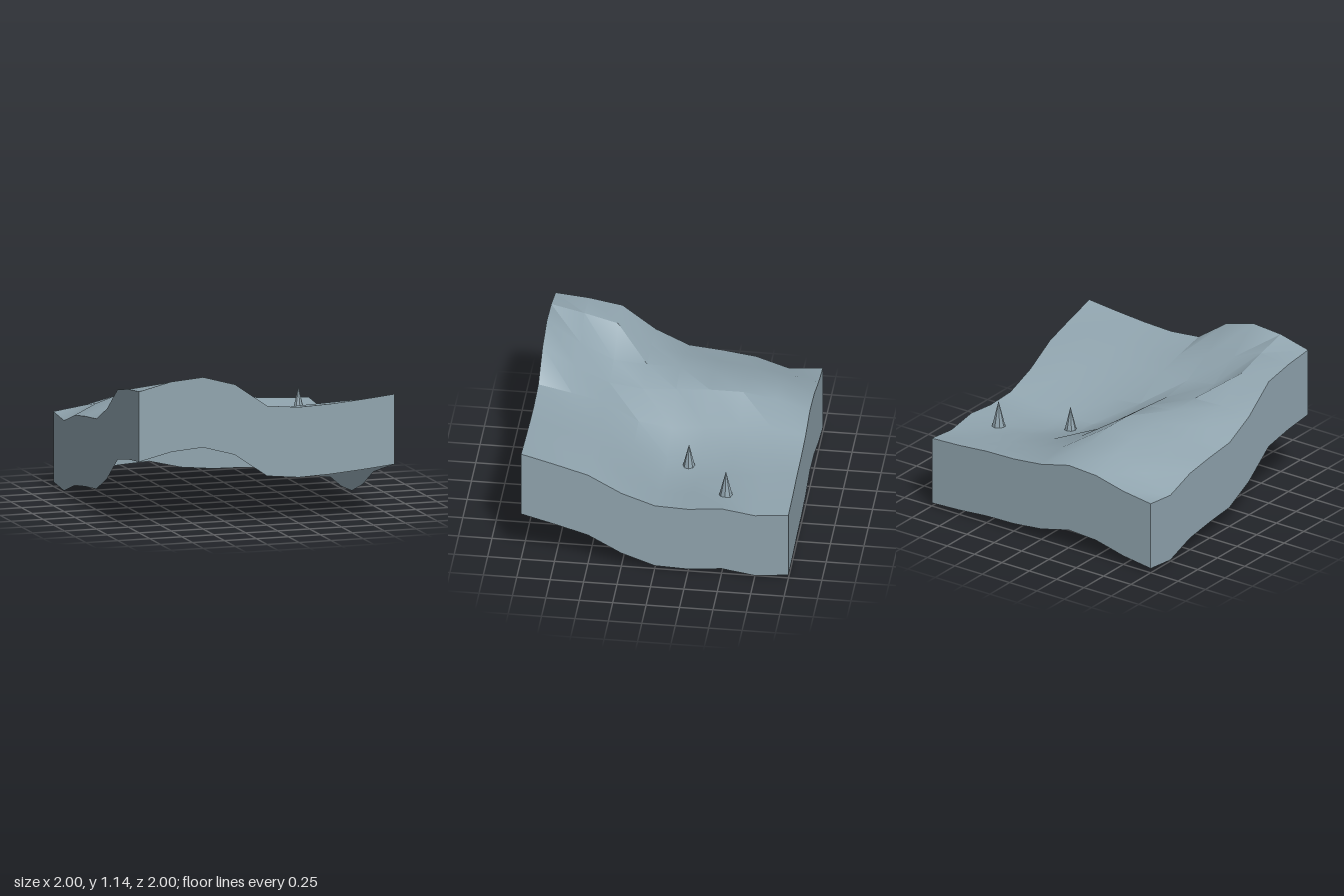
import * as THREE from 'three';
import { toCreasedNormals } from 'three/addons/utils/BufferGeometryUtils.js';

// Ground heights: one row per z from back (-1) to front (+1), x from -1 to +1
const HEIGHTS = [
  [0.57, 0.605, 0.665, 0.68, 0.62, 0.595, 0.59, 0.57, 0.56],
  [0.545, 0.66, 0.74, 0.76, 0.66, 0.59, 0.565, 0.55, 0.535],
  [0.63, 0.70, 0.78, 0.80, 0.66, 0.57, 0.545, 0.54, 0.575],
  [0.665, 0.73, 0.80, 0.80, 0.63, 0.51, 0.49, 0.52, 0.55],
  [0.69, 0.765, 0.82, 0.785, 0.60, 0.50, 0.49, 0.52, 0.56],
  [0.81, 0.83, 0.82, 0.765, 0.64, 0.61, 0.61, 0.63, 0.65],
  [1.0, 1.0, 0.84, 0.80, 0.79, 0.78, 0.78, 0.79, 0.79],
  [1.045, 1.07, 0.97, 0.92, 0.85, 0.84, 0.85, 0.86, 0.865],
  [1.07, 1.13, 1.15, 1.08, 0.905, 0.88, 0.89, 0.91, 0.935],
];
const N = 8;
const STEP = 2 / N;
const SKIRT = 0.53;

const stone = new THREE.MeshStandardMaterial({ color: 0x90a4ae, side: THREE.DoubleSide });
stone.name = 'blueGreyGround';

// Rolling ground surface
function groundGeometry() {
  const geo = new THREE.PlaneGeometry(2, 2, N, N).rotateX(-Math.PI / 2);
  const pos = geo.attributes.position;
  for (let i = 0; i < pos.count; i++) {
    pos.setY(i, HEIGHTS[Math.floor(i / (N + 1))][i % (N + 1)]);
  }
  return toCreasedNormals(geo, 0.5);
}

// Constant-depth wall hanging from one border; cell(i) gives [column, row]
function wallGeometry(cell) {
  const points = [];
  const index = [];
  for (let i = 0; i <= N; i++) {
    const [c, r] = cell(i);
    const x = -1 + c * STEP, z = -1 + r * STEP, y = HEIGHTS[r][c];
    points.push(x, y, z, x, y - SKIRT, z);
    if (i < N) {
      const a = i * 2;
      index.push(a, a + 1, a + 3, a, a + 3, a + 2);
    }
  }
  const geo = new THREE.BufferGeometry();
  geo.setAttribute('position', new THREE.Float32BufferAttribute(points, 3));
  geo.setIndex(index);
  geo.computeVertexNormals();
  return geo;
}

export function createModel() {
  const group = new THREE.Group();
  group.name = 'terrainTile';

  const add = (name, geo) => {
    const mesh = new THREE.Mesh(geo, stone);
    mesh.name = name;
    group.add(mesh);
    return mesh;
  };

  add('ground', groundGeometry());

  // Border walls, open underneath
  add('frontWall', wallGeometry((i) => [i, N]));
  add('leftWall', wallGeometry((i) => [N, N - i]));
  add('backWall', wallGeometry((i) => [N - i, 0]));
  add('rightWall', wallGeometry((i) => [0, i]));

  // Small faceted spikes rooted in the valley
  const height = 0.215;
  for (const [x, base, z] of [[0.33, 0.47, -0.17], [0.75, 0.53, -0.5]]) {
    const cone = new THREE.ConeGeometry(0.052, height, 8).toNonIndexed();
    cone.computeVertexNormals();
    add('spike', cone).position.set(x, base + height / 2, z);
  }
  return group;
}
